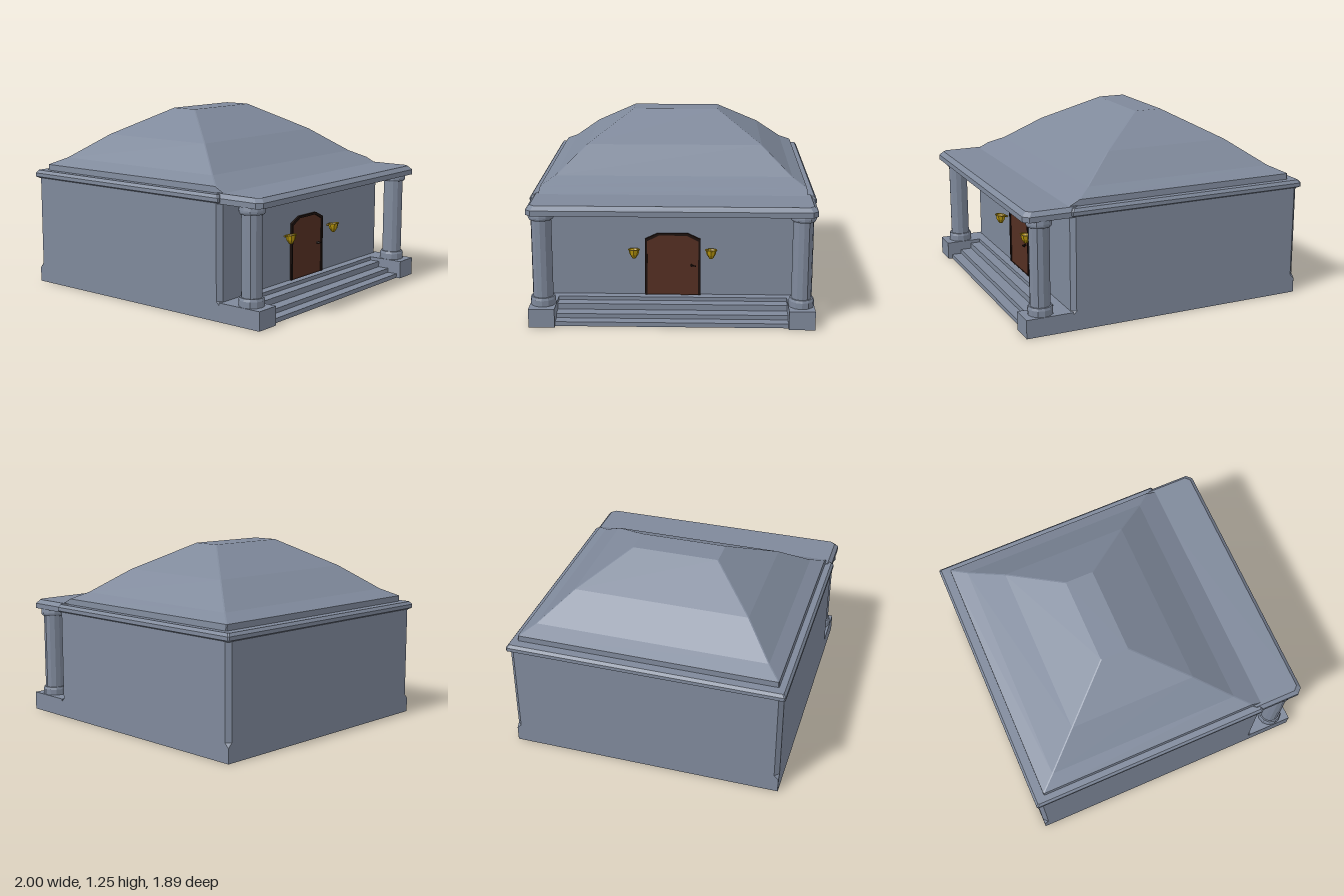
import * as THREE from 'three';

const material = (color) => new THREE.MeshStandardMaterial({ color, flatShading: true });

// Lofts chamfered rectangles, bottom to top: [y, xMin, xMax, zHalf, chamfer]
function loft(sections) {
  const rings = sections.map(([y, x0, x1, z, c]) => [
    [x1, y, z - c], [x1 - c, y, z], [x0 + c, y, z], [x0, y, z - c],
    [x0, y, c - z], [x0 + c, y, -z], [x1 - c, y, -z], [x1, y, c - z],
  ]);
  const pos = [];
  const tri = (a, b, c) => pos.push(...a, ...b, ...c);
  for (let r = 0; r < rings.length - 1; r++) {
    for (let i = 0; i < 8; i++) {
      const j = (i + 1) % 8;
      const low = rings[r], top = rings[r + 1];
      tri(low[i], top[i], low[j]);
      tri(low[j], top[i], top[j]);
    }
  }
  const bottom = rings[0], top = rings[rings.length - 1];
  for (let i = 1; i < 7; i++) {
    tri(bottom[0], bottom[i], bottom[i + 1]);
    tri(top[0], top[i + 1], top[i]);
  }
  const g = new THREE.BufferGeometry();
  g.setAttribute('position', new THREE.Float32BufferAttribute(pos, 3));
  g.computeVertexNormals();
  return g;
}

const lathe = (points, sides) =>
  new THREE.LatheGeometry(points.map(([r, y]) => new THREE.Vector2(r, y)), sides);

const polygon = (points) => new THREE.Shape(points.map(([x, y]) => new THREE.Vector2(x, y)));

const extrude = (shape, depth) => new THREE.ExtrudeGeometry(shape, { depth, bevelEnabled: false });

// Door outline with cut shoulders, shrunk by an inset
const doorOutline = (i) => [
  [-0.185 + i, 0.125], [0.185 - i, 0.125], [0.185 - i, 0.515 - i],
  [0.1 - i / 2, 0.555 - i], [-0.1 + i / 2, 0.555 - i], [-0.185 + i, 0.515 - i],
];

export function createModel() {
  const model = new THREE.Group();
  const stone = material(0x7f899b);
  const wood = material(0x542f22);
  const darkWood = material(0x1c100c);
  const gold = material(0xb8960c);

  const add = (name, geometry, mat, parent = model) => {
    const mesh = new THREE.Mesh(geometry, mat);
    mesh.name = name;
    parent.add(mesh);
    return mesh;
  };

  // Walls, with corner chamfers that stop above the foot
  add('walls', loft([
    [0, -0.985, 0.69, 0.93, 0.001],
    [0.1, -0.985, 0.69, 0.93, 0.001],
    [0.13, -0.985, 0.69, 0.93, 0.03],
    [0.77, -0.985, 0.69, 0.93, 0.03],
  ]), stone);

  // Cornice and porch roof
  add('cornice', loft([
    [0.75, -0.975, 0.67, 0.92, 0.005],
    [0.765, -1, 0.69, 0.945, 0.008],
    [0.79, -1, 0.69, 0.945, 0.008],
    [0.81, -0.985, 0.675, 0.93, 0.008],
  ]), stone);
  add('porchRoof', loft([
    [0.753, 0.62, 1, 0.93, 0.035],
    [0.788, 0.62, 1, 0.93, 0.035],
    [0.815, 0.62, 0.972, 0.905, 0.03],
  ]), stone);

  // Hipped roof in three pitches
  add('roof', loft([
    [0.8, -0.925, 0.71, 0.888, 0.006],
    [0.815, -0.925, 0.69, 0.888, 0.006],
    [0.85, -0.925, 0.62, 0.885, 0.006],
    [0.9, -0.82, 0.52, 0.795, 0.006],
    [1.065, -0.59, 0.29, 0.6, 0.006],
    [1.25, -0.25, -0.055, 0.3, 0.006],
  ]), stone);

  // Porch steps, hollow underneath
  const steps = extrude(polygon([
    [0.68, 0], [0.75, 0], [0.75, 0.08], [0.955, 0], [0.97, 0],
    [0.97, 0.03], [0.9, 0.03], [0.9, 0.06], [0.82, 0.06],
    [0.82, 0.1], [0.75, 0.1], [0.75, 0.125], [0.68, 0.125],
  ]), 1.52);
  steps.translate(0, 0, -0.76);
  add('steps', steps, stone);

  // Pedestals, columns and wall lamps, mirrored across z
  for (const s of [-1, 1]) {
    const pedestal = new THREE.BoxGeometry(0.32, 0.125, 0.17);
    pedestal.translate(0.84, 0.0625, s * 0.845);
    add('pedestal', pedestal, stone);

    const column = add('column', lathe([
      [0, 0.12], [0.083, 0.12], [0.083, 0.165], [0.077, 0.182], [0.067, 0.182],
      [0.067, 0.705], [0.078, 0.705], [0.085, 0.718], [0.085, 0.73], [0.08, 0.76],
    ], 12), stone);
    column.position.set(0.875, 0, s * 0.845);

    const lamp = new THREE.Group();
    lamp.name = 'wallLamp';
    lamp.position.set(0.745, 0, s * 0.255);
    model.add(lamp);
    add('lampBowl', lathe([
      [0, 0.393], [0.012, 0.397], [0.03, 0.425], [0.036, 0.455], [0.03, 0.455], [0, 0.42],
    ], 8), gold, lamp);
    const rim = add('lampRim', new THREE.TorusGeometry(0.038, 0.004, 5, 12), gold, lamp);
    rim.rotation.set(Math.PI / 2, 0.15, 0);
    rim.position.y = 0.455;
    const arm = add('lampArm', new THREE.CylinderGeometry(0.005, 0.005, 0.05, 6), gold, lamp);
    arm.rotation.z = Math.PI / 2;
    arm.position.set(-0.045, 0.44, 0);
  }

  // Door with surrounding frame and handle
  const frameShape = polygon(doorOutline(0));
  frameShape.holes.push(new THREE.Path(
    doorOutline(0.015).map(([x, y]) => new THREE.Vector2(x, y === 0.125 ? 0.1255 : y))));
  const frame = add('doorFrame', extrude(frameShape, 0.02), darkWood);
  const door = add('door', extrude(polygon(doorOutline(0.013)), 0.012), wood);
  for (const part of [frame, door]) {
    part.geometry.rotateY(Math.PI / 2);
    part.position.x = 0.685;
  }
  const knob = add('doorHandle', new THREE.CylinderGeometry(0.007, 0.007, 0.03, 6), darkWood);
  knob.rotation.z = Math.PI / 2;
  knob.position.set(0.707, 0.335, -0.125);
  const lever = add('doorLever', new THREE.BoxGeometry(0.007, 0.008, 0.035), darkWood);
  lever.position.set(0.72, 0.335, -0.138);

  return model;
}
